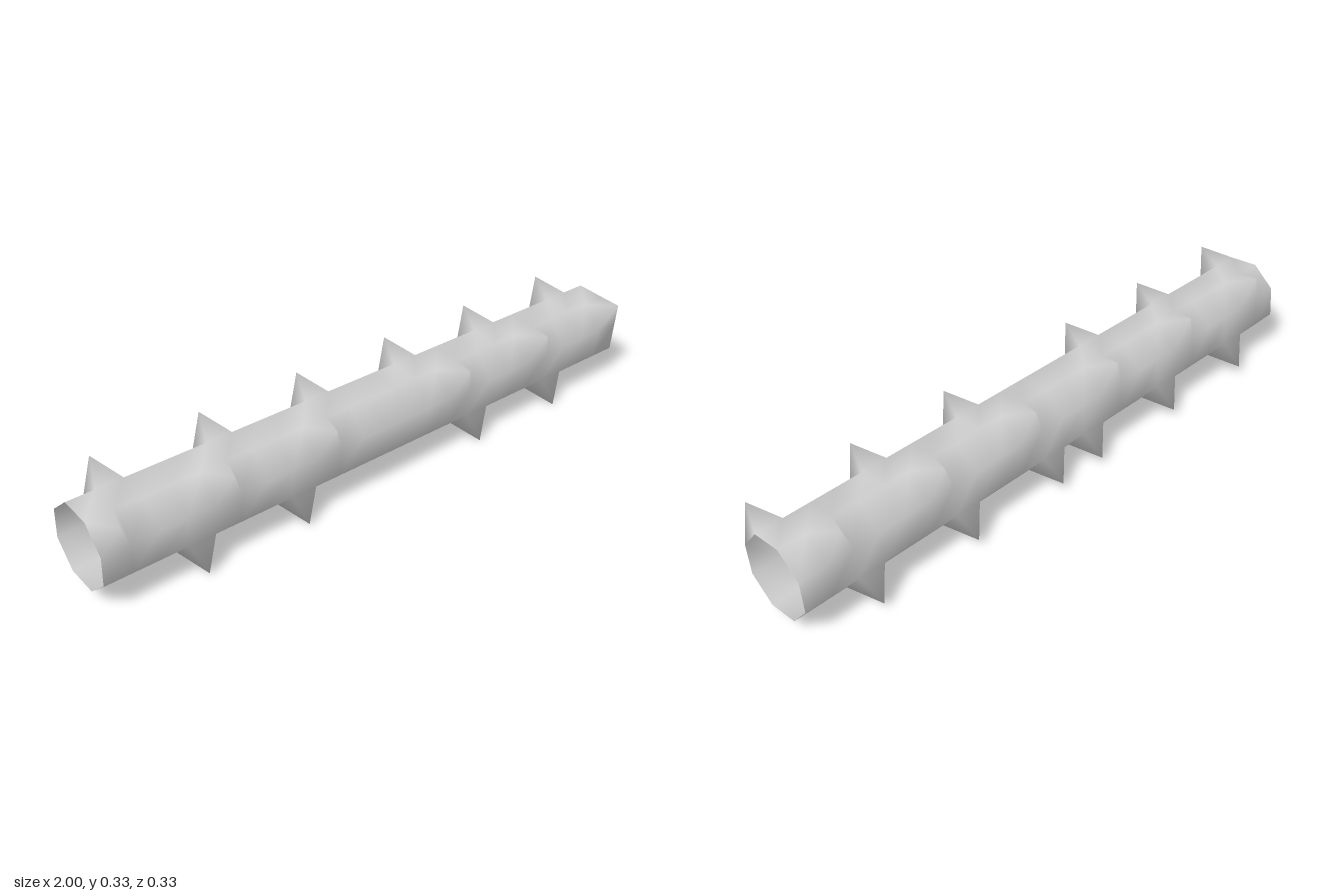
import * as THREE from 'three';

const SIDES = 8;
const RINGS = 23;          // tube segments along x, each one spike wide
const RADIUS = 0.13;
const SPIKE_REACH = 0.212; // tip distance from the axis
const START = THREE.MathUtils.degToRad(17.3);
const STEP = (Math.PI * 2) / SIDES;

// Point at a given angle and distance around the slightly slanted axis
function around(x, angle, r) {
  return [x, 0.167 - 0.0055 * x + r * Math.sin(angle), 0.005 * x + r * Math.cos(angle)];
}

// Face carrying the spike in segment i: two mirrored spirals, none in the middle
function spikeFace(i) {
  const fromEnd = Math.min(i, RINGS - 1 - i);
  return fromEnd === (RINGS - 1) / 2 ? -1 : (fromEnd % 4) * 2;
}

export function createModel() {
  const group = new THREE.Group();
  group.name = 'spikedPipe';
  const positions = [];
  const index = [];

  // Rings of the open octagonal tube
  for (let i = 0; i <= RINGS; i++) {
    for (let k = 0; k < SIDES; k++) {
      positions.push(...around(-1 + (2 * i) / RINGS, START + k * STEP, RADIUS));
    }
  }

  // Wall panels; a spiked panel is drawn out into a four-sided pyramid
  for (let i = 0; i < RINGS; i++) {
    for (let k = 0; k < SIDES; k++) {
      const next = (k + 1) % SIDES;
      const a = i * SIDES + k;
      const b = a + SIDES;
      const d = i * SIDES + next;
      const c = d + SIDES;
      if (k === spikeFace(i)) {
        const tip = positions.length / 3;
        positions.push(...around(-1 + (2 * i + 1) / RINGS, START + (k + 0.5) * STEP, SPIKE_REACH));
        index.push(a, b, tip, b, c, tip, c, d, tip, d, a, tip);
      } else {
        index.push(a, b, c, a, c, d);
      }
    }
  }

  const geometry = new THREE.BufferGeometry();
  geometry.setAttribute('position', new THREE.Float32BufferAttribute(positions, 3));
  geometry.setIndex(index);
  geometry.computeVertexNormals();

  const tube = new THREE.Mesh(
    geometry,
    new THREE.MeshStandardMaterial({ color: 0xcccccc, side: THREE.DoubleSide })
  );
  tube.name = 'tubeWithSpikes';
  group.add(tube);
  return group;
}
